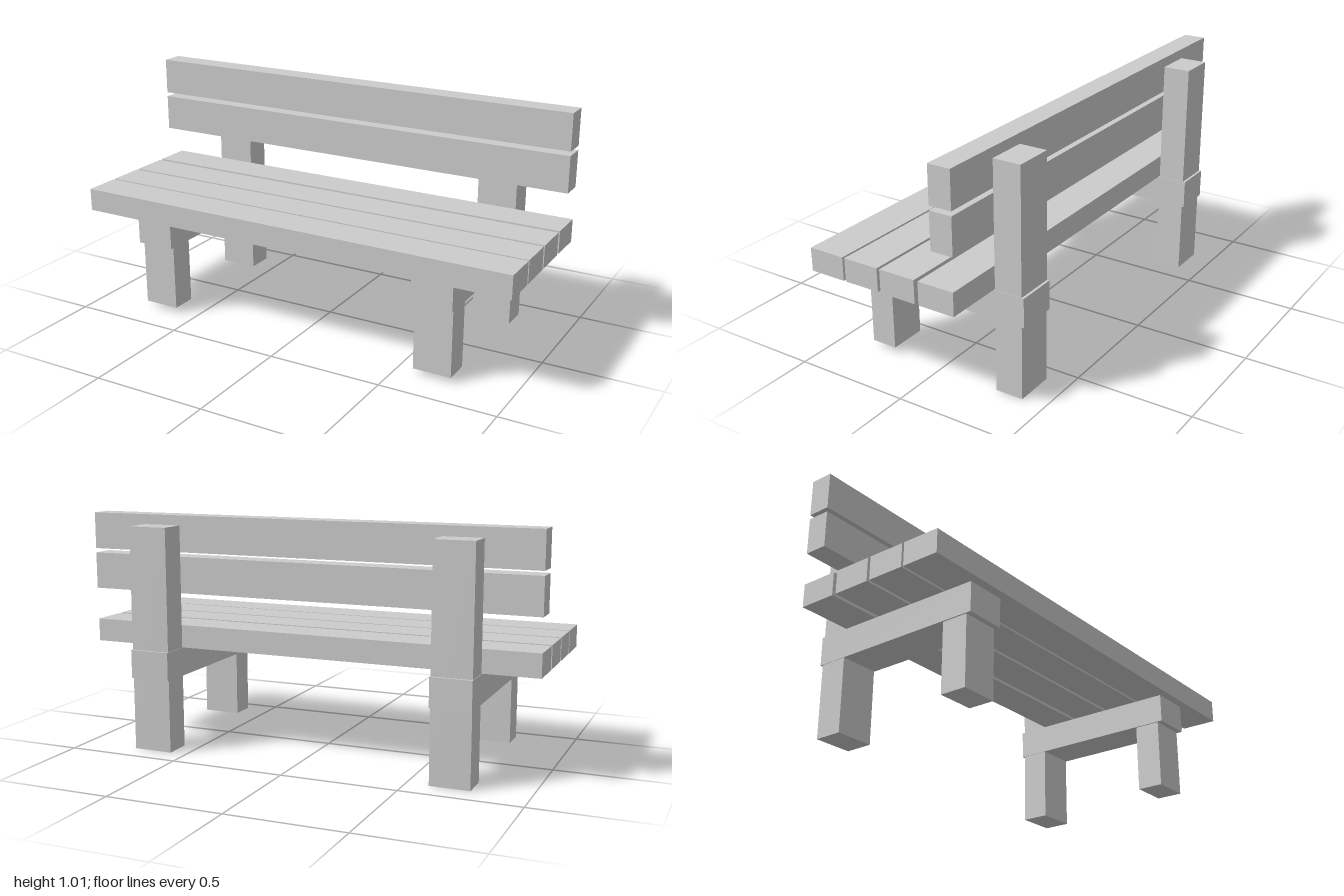
import * as THREE from 'three';

export function createModel() {
  const group = new THREE.Group();
  group.name = 'parkBench';
  const material = new THREE.MeshStandardMaterial({ color: 0xcccccc, flatShading: true });

  // Adds a wooden beam given its extents along each axis
  function beam(name, [x0, x1], [y0, y1], [z0, z1]) {
    const mesh = new THREE.Mesh(new THREE.BoxGeometry(x1 - x0, y1 - y0, z1 - z0), material);
    mesh.position.set((x0 + x1) / 2, (y0 + y1) / 2, (z0 + z1) / 2);
    mesh.name = name;
    group.add(mesh);
  }

  const fullWidth = [-1, 1];

  // Four seat planks, front to back
  [[0.249, 0.409], [0.08, 0.239], [-0.095, 0.067], [-0.274, -0.113]].forEach((z, i) =>
    beam(`seatPlank${i + 1}`, fullWidth, [0.441, 0.54], z));

  // Two backrest planks, fixed to the front of the posts
  [[0.68, 0.838], [0.857, 1.015]].forEach((y, i) =>
    beam(`backrestPlank${i + 1}`, fullWidth, y, [-0.278, -0.18]));

  // Two support frames: back post, seat rail and front leg
  for (const [side, x0, x1] of [['right', -0.764, -0.595], ['left', 0.574, 0.748]]) {
    beam(`${side}BackPost`, [x0, x1], [0, 0.972], [-0.398, -0.278]);
    beam(`${side}SeatRail`, [x0 - 0.002, x1 + 0.002], [0.317, 0.441], [-0.409, 0.372]);
    beam(`${side}FrontLeg`, [x0 + 0.004, x1 - 0.004], [0.024, 0.317], [0.235, 0.348]);
  }

  return group;
}
